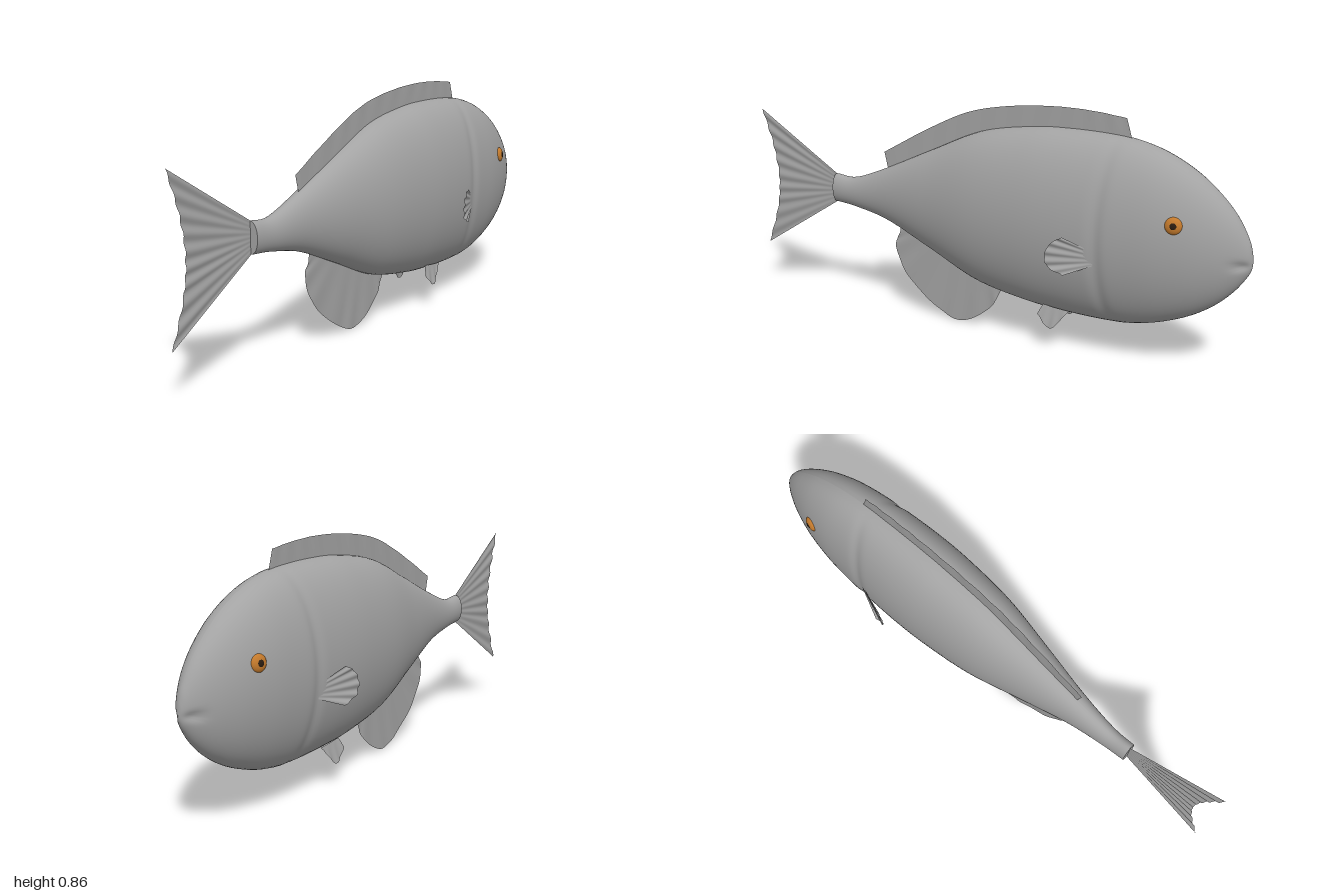
import * as THREE from 'three';

const skin = new THREE.MeshStandardMaterial({ name: 'grey skin', color: 0xa3a3a3 });
const finMat = new THREE.MeshStandardMaterial({ name: 'grey fin', color: 0xa3a3a3, side: THREE.DoubleSide });
const irisMat = new THREE.MeshStandardMaterial({ name: 'amber iris', color: 0xc47a2c });
const pupilMat = new THREE.MeshStandardMaterial({ name: 'dark pupil', color: 0x2a1c10 });

const bump = (v, centre, width) => Math.exp(-(((v - centre) / width) ** 2));

// Surface from a grid of points: f(u, v) with u, v in 0..1
function surface(f, nu, nv) {
  const pos = [], idx = [], uv = [];
  for (let i = 0; i <= nu; i++) {
    for (let j = 0; j <= nv; j++) {
      pos.push(...f(i / nu, j / nv));
      uv.push(i / nu, j / nv);
      if (i < nu && j < nv) {
        const a = i * (nv + 1) + j, b = a + nv + 1;
        idx.push(a, b, a + 1, b, b + 1, a + 1);
      }
    }
  }
  const g = new THREE.BufferGeometry();
  g.setAttribute('position', new THREE.Float32BufferAttribute(pos, 3));
  g.setAttribute('uv', new THREE.Float32BufferAttribute(uv, 2));
  g.setIndex(idx);
  g.computeVertexNormals();
  return g;
}

// Body stations: x, top y, bottom y, half width
const stations = [
  [-0.645, 0.505, 0.395, 0.03], [-0.55, 0.503, 0.385, 0.035], [-0.4, 0.56, 0.352, 0.055],
  [-0.2, 0.652, 0.268, 0.096], [0, 0.74, 0.182, 0.135], [0.2, 0.778, 0.143, 0.153],
  [0.35, 0.787, 0.131, 0.156], [0.5, 0.784, 0.127, 0.15], [0.6, 0.772, 0.133, 0.143],
  [0.7, 0.742, 0.156, 0.132], [0.8, 0.69, 0.196, 0.111], [0.88, 0.627, 0.246, 0.084],
  [0.94, 0.562, 0.302, 0.055], [0.98, 0.495, 0.356, 0.028], [0.995, 0.45, 0.385, 0.013],
  [1, 0.412, 0.408, 0.001],
];
const heights = new THREE.CatmullRomCurve3(stations.map(s => new THREE.Vector3(s[0], s[1], s[2])), false, 'catmullrom', 0.5);
const widths = new THREE.CatmullRomCurve3(stations.map(s => new THREE.Vector3(s[0], s[3], 0)), false, 'catmullrom', 0.5);

function bodyPoint(u, v) {
  const h = heights.getPoint(u);
  const a = v * Math.PI * 2;
  const ry = (h.y - h.z) / 2, cy = (h.y + h.z) / 2;
  const y = cy + Math.cos(a) * ry;
  let z = -Math.sin(a) * widths.getPoint(u).y;
  // gill groove, bowed a little towards the head at its top
  const gillX = 0.505 + 0.03 * Math.cos(a) ** 2;
  z *= 1 - 0.05 * bump(h.x, gillX, 0.022);
  // mouth crease
  z *= 1 - 0.3 * bump(y, 0.405, 0.014) * bump(h.x, 0.975, 0.03);
  return [h.x, y, z];
}

// Fin sheet ruled between a root line and an outer edge, with shallow rays
function fin(root, edge, rays, depth) {
  const curve = pts => new THREE.CatmullRomCurve3(pts.map(p => new THREE.Vector3(p[0], p[1], p[2] || 0)), false, 'centripetal');
  const r = curve(root), e = curve(edge);
  return surface((u, v) => {
    const p = r.getPoint(u).lerp(e.getPoint(u), v);
    p.z += depth * v * Math.sin(u * rays * Math.PI * 2);
    return [p.x, p.y, p.z];
  }, 72, 6);
}

export function createModel() {
  const model = new THREE.Group();
  model.name = 'fish';
  const add = (name, geo, mat, parent = model) => {
    const m = new THREE.Mesh(geo, mat);
    m.name = name;
    parent.add(m);
    return m;
  };

  add('body', surface(bodyPoint, 150, 64), skin);

  // Flat end of the tail stalk
  const cap = add('tailStalkEnd', new THREE.CircleGeometry(1, 32), skin);
  cap.scale.set(0.03, 0.055, 1);
  cap.rotation.y = -Math.PI / 2;
  cap.position.set(-0.645, 0.45, 0);

  // Midline fins
  add('tailFin', fin(
    [[-0.635, 0.5], [-0.635, 0.45], [-0.635, 0.4]],
    [[-1, 0.725], [-0.952, 0.58], [-0.932, 0.45], [-0.945, 0.335], [-1, 0.172]], 9, 0.003), finMat);
  add('dorsalFin', fin(
    [[-0.4, 0.54], [-0.2, 0.63], [0, 0.72], [0.2, 0.76], [0.4, 0.77], [0.575, 0.76]],
    [[-0.418, 0.617], [-0.205, 0.735], [-0.045, 0.807], [0.125, 0.843], [0.3, 0.857], [0.435, 0.854], [0.55, 0.842]],
    10, 0.001), finMat);
  add('analFin', fin(
    [[-0.35, 0.34], [-0.2, 0.29], [-0.05, 0.22], [0.09, 0.17]],
    [[-0.355, 0.31], [-0.375, 0.26], [-0.33, 0.15], [-0.19, 0.035], [-0.09, 0.002], [0.04, 0.08], [0.08, 0.15]],
    7, 0.0015), finMat);

  // Paired fins and eyes
  for (const s of [1, -1]) {
    const side = s > 0 ? 'near' : 'far';
    add(side + 'PectoralFin', fin(
      [[0.5, 0.41, s * 0.138], [0.505, 0.385, s * 0.136], [0.5, 0.36, s * 0.138]],
      [[0.405, 0.457, s * 0.178], [0.37, 0.435, s * 0.187], [0.35, 0.395, s * 0.193],
        [0.358, 0.352, s * 0.189], [0.41, 0.324, s * 0.178]], 5, 0.003), finMat);
    add(side + 'PelvicFin', fin(
      [[0.385, 0.15, s * 0.06], [0.33, 0.155, s * 0.062], [0.285, 0.16, s * 0.062]],
      [[0.375, 0.138, s * 0.066], [0.32, 0.08, s * 0.08], [0.268, 0.124, s * 0.075]], 3, 0.002), finMat);

    const eye = new THREE.Group();
    eye.name = side + 'Eye';
    eye.position.set(0.765, 0.533, s * 0.11);
    eye.rotation.set(-s * 0.12, s * 0.22, 0);
    model.add(eye);
    add('iris', new THREE.SphereGeometry(0.029, 24, 16), irisMat, eye).scale.z = 0.5;
    const pupil = add('pupil', new THREE.SphereGeometry(0.012, 20, 12), pupilMat, eye);
    pupil.scale.z = 0.4;
    pupil.position.z = s * 0.0115;
  }
  return model;
}
